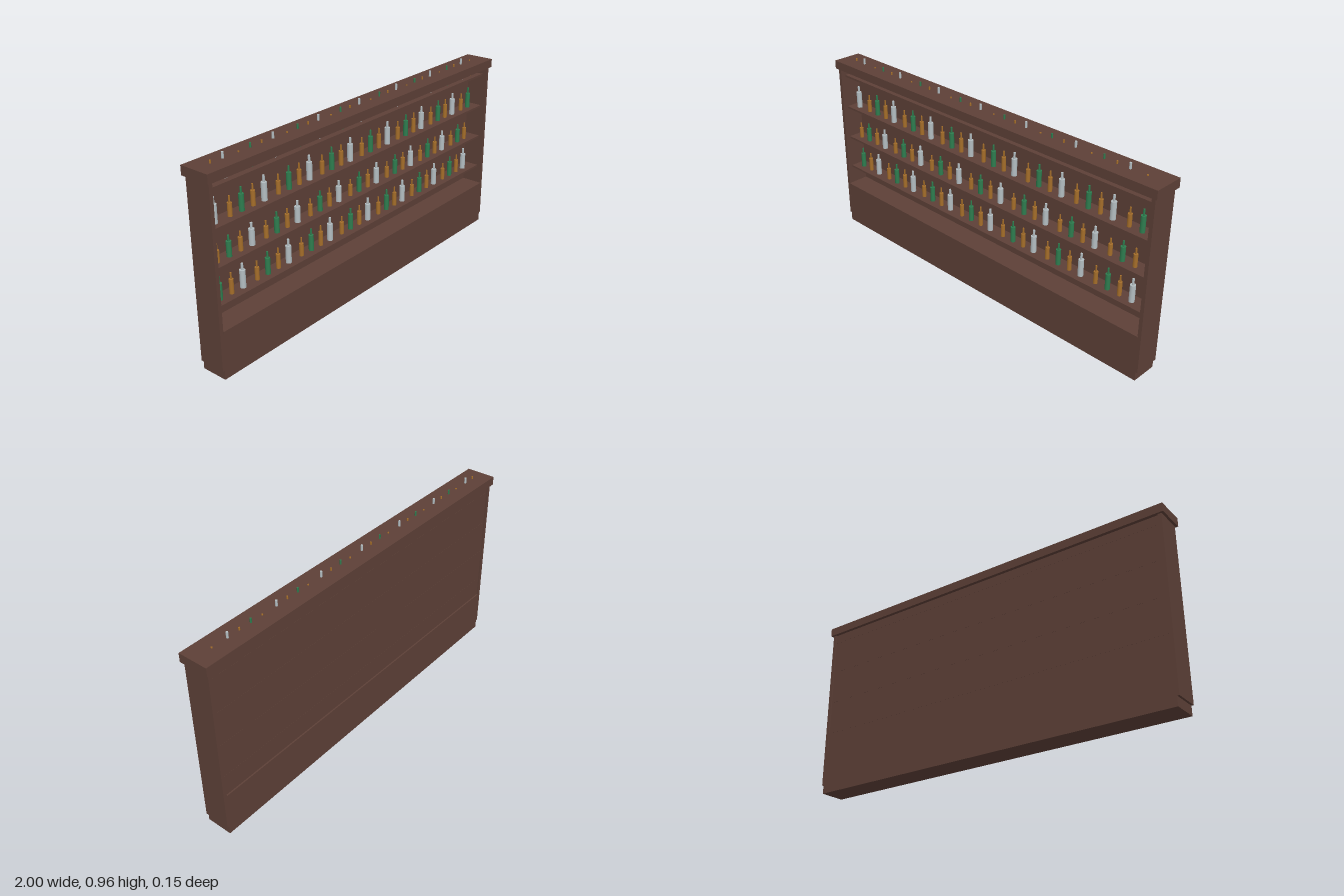
import * as THREE from 'three';

const material = (name, color) => {
  const m = new THREE.MeshStandardMaterial({ color });
  m.name = name;
  return m;
};

export function createModel() {
  const wood = material('dark wood', 0x5d4037);
  const clear = material('clear glass', 0xb4bec2);
  const green = material('green glass', 0x2e7d4f);
  const amber = material('amber glass', 0xa56e2a);

  const model = new THREE.Group();
  model.name = 'bottleShelf';

  // Box given by its lower and upper limits on each axis
  function board(name, [x0, x1], [y0, y1], [z0, z1]) {
    const mesh = new THREE.Mesh(new THREE.BoxGeometry(x1 - x0, y1 - y0, z1 - z0), wood);
    mesh.position.set((x0 + x1) / 2, (y0 + y1) / 2, (z0 + z1) / 2);
    mesh.name = name;
    model.add(mesh);
  }

  // Cabinet
  const inner = [-0.972, 0.972];
  board('base', [-0.978, 0.978], [0, 0.225], [-0.065, 0.065]);
  board('baseLedge', inner, [0.22, 0.231], [-0.055, 0.068]);
  board('rightSide', [-0.988, -0.97], [0.045, 0.895], [-0.0652, 0.0652]);
  board('leftSide', [0.97, 0.988], [0.045, 0.895], [-0.0652, 0.0652]);
  board('backPanel', inner, [0.225, 0.895], [-0.058, -0.045]);
  board('cap', [-1, 1], [0.893, 0.936], [-0.075, 0.075]);

  // Bottle kinds in their repeating order: body radius, body height, full height, gap to the next
  const kinds = [
    { name: 'clearBottle', mat: clear, r: 0.0135, neck: 0.0055, body: 0.079, height: 0.108, gap: 0.0836 },
    { name: 'shortAmberBottle', mat: amber, r: 0.0105, neck: 0.004, body: 0.057, height: 0.085, gap: 0.0648 },
    { name: 'greenBottle', mat: green, r: 0.012, neck: 0.0045, body: 0.073, height: 0.101, gap: 0.0648 },
    { name: 'amberBottle', mat: amber, r: 0.0105, neck: 0.004, body: 0.065, height: 0.093, gap: 0.0648 },
  ];

  function bottle(kind, x, y, stretch) {
    const g = new THREE.Group();
    g.name = kind.name;
    const body = kind.body * stretch, neck = kind.height * stretch - body;
    const bodyMesh = new THREE.Mesh(new THREE.CylinderGeometry(kind.r, kind.r, body, 10), kind.mat);
    bodyMesh.name = 'bottleBody';
    bodyMesh.position.y = body / 2;
    const neckMesh = new THREE.Mesh(new THREE.CylinderGeometry(kind.neck, kind.neck, neck, 8), kind.mat);
    neckMesh.name = 'bottleNeck';
    neckMesh.position.y = body + neck / 2;
    g.add(bodyMesh, neckMesh);
    g.position.set(x, y, 0);
    model.add(g);
  }

  // Shelves, each with a row of bottles starting at another place in the order
  const rows = [
    { y: 0.333, first: 2, stretch: 1.06 },
    { y: 0.507, first: 1, stretch: 0.96 },
    { y: 0.681, first: 0, stretch: 1.06 },
    { y: 0.856, first: 3, stretch: 1.0 },
  ];
  for (const { y, first, stretch } of rows) {
    board('shelf', inner, [y - 0.011, y], [-0.0585, 0.04]);
    let x = -0.917;
    for (let i = 0; i < 27; i++) {
      const kind = kinds[(first + i) % 4];
      bottle(kind, x, y, stretch);
      x += kind.gap;
    }
  }
  return model;
}
